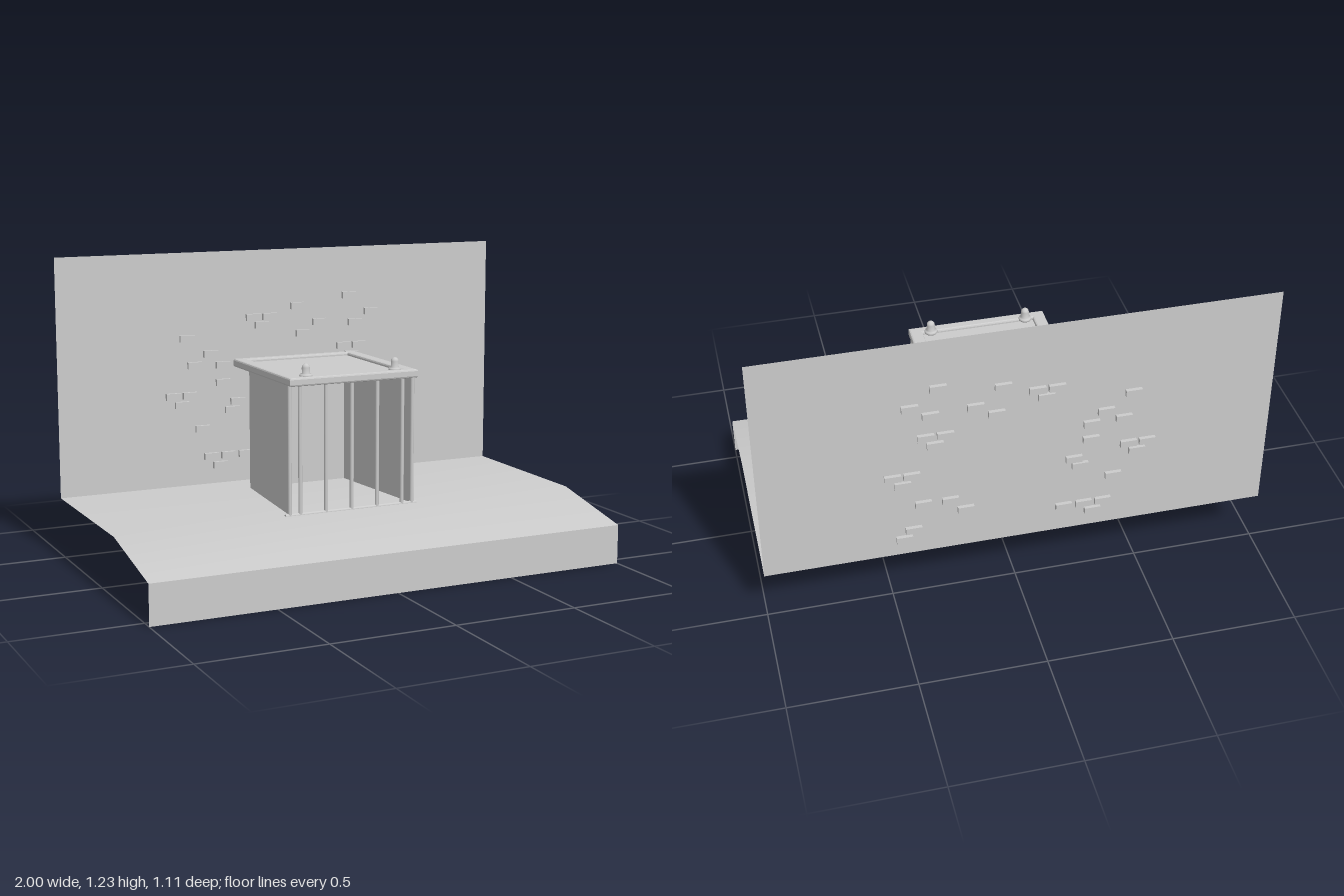
import * as THREE from 'three';

const material = new THREE.MeshStandardMaterial({ color: 0xcccccc });
const thin = new THREE.MeshStandardMaterial({ color: 0xcccccc, side: THREE.DoubleSide });

function add(parent, name, geometry, x = 0, y = 0, z = 0, mat = material) {
  const mesh = new THREE.Mesh(geometry, mat);
  mesh.name = name;
  mesh.position.set(x, y, z);
  parent.add(mesh);
  return mesh;
}

// Open sheet swept between two matching rows of [x, y, z] points
function sheet(rowA, rowB) {
  const geo = new THREE.BufferGeometry();
  const index = [];
  const n = rowA.length;
  for (let i = 0; i < n - 1; i++) index.push(i, n + i, i + 1, i + 1, n + i, n + i + 1);
  geo.setAttribute('position', new THREE.Float32BufferAttribute([...rowA, ...rowB].flat(), 3));
  geo.setIndex(index);
  geo.computeVertexNormals();
  return geo;
}

// Rectangle in plan, given as x half width and z range
function rectangle(target, hw, z0, z1) {
  target.moveTo(-hw, -z0);
  target.lineTo(hw, -z0);
  target.lineTo(hw, -z1);
  target.lineTo(-hw, -z1);
  target.closePath();
  return target;
}

function makeLid() {
  const lid = new THREE.Group();
  lid.name = 'lid';
  // Bevelled border around a shallow recess
  const bevel = 0.007;
  const shape = rectangle(new THREE.Shape(), 0.28 - bevel, 0.17 - bevel, -0.415 + bevel);
  shape.holes.push(rectangle(new THREE.Path(), 0.228 + bevel, 0.13 + bevel, -0.375 - bevel));
  const frame = new THREE.ExtrudeGeometry(shape, {
    depth: 0.034 - 2 * bevel, bevelEnabled: true, bevelSize: bevel, bevelThickness: bevel, bevelSegments: 2,
  });
  frame.rotateX(-Math.PI / 2);
  add(lid, 'lidFrame', frame, 0, 0.758 + bevel, 0);
  add(lid, 'lidPanel', new THREE.BoxGeometry(0.48, 0.022, 0.53), 0, 0.768, -0.1225);

  // Domed knobs on small collars
  const profile = [[0, 0], [0.025, 0], [0.026, 0.005], [0.024, 0.011], [0.016, 0.014], [0.016, 0.037],
    [0.014, 0.045], [0.008, 0.051], [0, 0.053]].map(([r, y]) => new THREE.Vector2(r, y));
  for (const side of [-1, 1]) {
    add(lid, 'knob', new THREE.LatheGeometry(profile, 20), side * 0.195, 0.788, 0.13);
  }
  return lid;
}

function makeCage() {
  const cage = new THREE.Group();
  cage.name = 'cage';
  const bottom = 0.237, top = 0.772;

  // Thin walls, narrowing toward the back
  const plan = [[-0.268, 0.14], [-0.22, -0.39], [0.22, -0.39], [0.268, 0.14]];
  const names = ['rightPanel', 'backPanel', 'leftPanel'];
  names.forEach((name, i) => {
    const pair = [plan[i], plan[i + 1]];
    add(cage, name, sheet(pair.map(([x, z]) => [x, top, z]), pair.map(([x, z]) => [x, bottom, z])), 0, 0, 0, thin);
  });

  // Front bars and corner posts
  for (const x of [-0.27, -0.225, -0.1125, 0, 0.1125, 0.225, 0.27]) {
    add(cage, 'bar', new THREE.CylinderGeometry(0.008, 0.008, top - bottom, 12), x, (top + bottom) / 2, 0.14);
  }
  const sill = new THREE.CylinderGeometry(0.008, 0.008, 0.58, 12);
  sill.rotateZ(Math.PI / 2);
  add(cage, 'bottomRail', sill, 0, 0.24, 0.14);
  cage.add(makeLid());
  return cage;
}

export function createModel() {
  const model = new THREE.Group();
  model.name = 'cageDiorama';

  // Ground with a gentle front slope, front skirt and back wall
  const ground = [[-0.54, 0.24], [0.16, 0.24], [0.55, 0.16]];
  const row = (x) => ground.map(([z, y]) => [x, y, z]);
  add(model, 'ground', sheet(row(-1), row(1)).scale(1, 1, 1), 0, 0, 0, thin).geometry.index.array.reverse();
  model.children[0].geometry.computeVertexNormals();
  add(model, 'frontSkirt', new THREE.PlaneGeometry(2, 0.16), 0, 0.08, 0.55, thin);
  add(model, 'backWall', new THREE.PlaneGeometry(2, 0.99), 0, 0.735, -0.54, thin);

  // Scattered bricks poking through both faces of the wall
  const bricks = [
    [0.31, 1.02], [0.065, 0.985], [-0.14, 0.945], [-0.065, 0.945], [-0.1, 0.91], [0.17, 0.91], [0.09, 0.865],
    [0.34, 0.9], [0.417, 0.945], [-0.44, 0.87], [-0.335, 0.8], [-0.407, 0.755], [-0.28, 0.75], [0.36, 0.8],
    [0.285, 0.8], [0.325, 0.76], [-0.505, 0.628], [-0.43, 0.628], [-0.465, 0.59], [0.49, 0.628], [0.417, 0.628],
    [0.453, 0.59], [-0.375, 0.482], [0.375, 0.482], [0.27, 0.48], [0.21, 0.425], [-0.337, 0.36], [-0.26, 0.36],
    [-0.18, 0.36], [-0.297, 0.32], [0.415, 0.36], [0.452, 0.32], [-0.28, 0.675], [-0.215, 0.59], [-0.24, 0.555],
  ];
  const brick = new THREE.BoxGeometry(0.064, 0.028, 0.03);
  const bricksGroup = new THREE.Group();
  bricksGroup.name = 'bricks';
  for (const [x, y] of bricks) add(bricksGroup, 'brick', brick, x, y, -0.54);
  model.add(bricksGroup, makeCage());
  return model;
}
